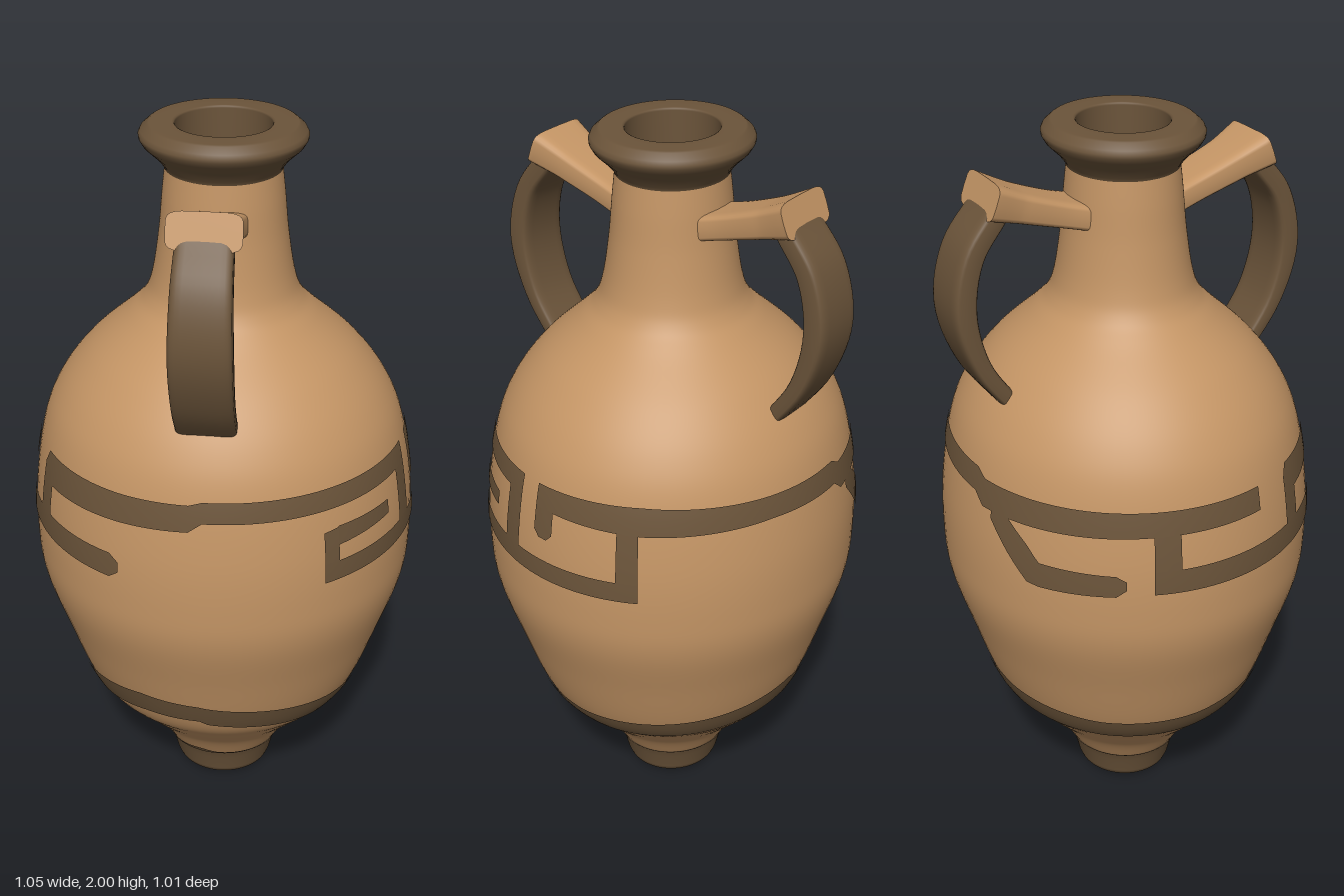
import * as THREE from 'three';

const clay = new THREE.MeshStandardMaterial({ color: 0xc49565 });
clay.name = 'clay';
const glaze = new THREE.MeshStandardMaterial({ color: 0x6b543a });
glaze.name = 'darkGlaze';

const rad = THREE.MathUtils.degToRad;

// Outer wall of the vessel as [radius, height], from foot band to collar
const wall = [
  [0.17, 0.115], [0.225, 0.2], [0.315, 0.3], [0.395, 0.4], [0.465, 0.6], [0.51, 0.75],
  [0.52, 0.87], [0.513, 1.02], [0.483, 1.19], [0.437, 1.3], [0.36, 1.4], [0.25, 1.5],
  [0.205, 1.55], [0.183, 1.61], [0.165, 1.72], [0.155, 1.82], [0.147, 1.89],
];
const outline = new THREE.SplineCurve(wall.map(([r, y]) => new THREE.Vector2(r, y))).getPoints(140);

// Radius of the outer wall at a height
function radiusAt(y) {
  let i = 1;
  while (i < outline.length - 1 && outline[i].y < y) i++;
  const a = outline[i - 1], b = outline[i];
  return a.x + ((b.x - a.x) * (y - a.y)) / (b.y - a.y);
}

function addMesh(parent, name, geometry, material) {
  const mesh = new THREE.Mesh(geometry, material);
  mesh.name = name;
  parent.add(mesh);
  return mesh;
}

function lathe(points) {
  return new THREE.LatheGeometry(points.map((p) => (p.isVector2 ? p : new THREE.Vector2(p[0], p[1]))), 96);
}

function geometryFrom(positions, indices) {
  const g = new THREE.BufferGeometry();
  g.setAttribute('position', new THREE.Float32BufferAttribute(positions, 3));
  g.setIndex(indices);
  g.computeVertexNormals();
  return g;
}

// Painted strip hugging the wall; stops are [degrees from front, lower y, upper y]
function paintedStrip(stops) {
  const rows = 6, columns = [];
  for (let k = 0; k < stops.length - 1; k++) {
    const [a0, l0, u0] = stops[k], [a1, l1, u1] = stops[k + 1];
    const n = Math.max(1, Math.ceil((a1 - a0) / 2.5));
    for (let i = k ? 1 : 0; i <= n; i++) {
      const t = i / n;
      columns.push([a0 + (a1 - a0) * t, l0 + (l1 - l0) * t, u0 + (u1 - u0) * t]);
    }
  }
  const pos = [], idx = [];
  columns.forEach(([a, low, high], i) => {
    for (let j = 0; j <= rows; j++) {
      const y = low + ((high - low) * j) / rows, r = radiusAt(y) + 0.004;
      pos.push(r * Math.sin(rad(a)), y, r * Math.cos(rad(a)));
      if (i && j) {
        const d = i * (rows + 1) + j, c = d - 1, b = d - rows - 1, e = b - 1;
        idx.push(e, c, b, c, d, b);
      }
    }
  });
  return geometryFrom(pos, idx);
}

// Rounded bar swept in the yz plane; stations are [z, y, half width, half thickness]
function sweptBar(stations, steps = 24, sides = 24) {
  const path = new THREE.CatmullRomCurve3(stations.map(([z, y]) => new THREE.Vector3(0, y, z)));
  const sizes = new THREE.CatmullRomCurve3(stations.map(([, , w, h]) => new THREE.Vector3(w, h, 0)));
  const round = (v) => Math.sign(v) * Math.pow(Math.abs(v), 0.4);
  const xAxis = new THREE.Vector3(1, 0, 0);
  const pos = [], idx = [];
  for (let i = 0; i <= steps; i++) {
    const t = i / steps, c = path.getPoint(t), s = sizes.getPoint(t);
    const n = path.getTangent(t).cross(xAxis);
    for (let j = 0; j < sides; j++) {
      const q = (j / sides) * Math.PI * 2;
      const h = s.y * round(Math.sin(q));
      pos.push(s.x * round(Math.cos(q)), c.y + n.y * h, c.z + n.z * h);
      if (i) {
        const a = (i - 1) * sides + j, b = (i - 1) * sides + ((j + 1) % sides);
        idx.push(a, b, a + sides, b, b + sides, a + sides);
      }
    }
  }
  // End caps with their own vertices, for crisp rims
  for (const ring of [0, steps]) {
    const base = pos.length / 3;
    pos.push(...pos.slice(ring * sides * 3, (ring + 1) * sides * 3));
    for (let j = 1; j < sides - 1; j++) {
      if (ring) idx.push(base, base + j, base + j + 1);
      else idx.push(base, base + j + 1, base + j);
    }
  }
  return geometryFrom(pos, idx);
}

export function createModel() {
  const model = new THREE.Group();
  model.name = 'amphora';

  // Turned vessel, slightly oval
  const vessel = new THREE.Group();
  vessel.name = 'vessel';
  vessel.scale.z = 0.962;
  model.add(vessel);

  addMesh(vessel, 'bodyAndNeck', lathe(outline), clay);
  addMesh(vessel, 'foot', lathe([
    [0, 0], [0.118, 0.004], [0.122, 0.005], [0.137, 0.015], [0.143, 0.03], [0.155, 0.08], [0.17, 0.115],
  ]), glaze);
  addMesh(vessel, 'lip', lathe([
    [0.147, 1.885], [0.15, 1.895], [0.17, 1.92], [0.2, 1.948], [0.209, 1.963], [0.21, 1.972], [0.205, 1.982],
    [0.188, 1.997], [0.183, 2], [0.126, 2], [0.122, 1.998], [0.12, 1.994], [0.12, 1.8],
  ]), glaze);
  addMesh(vessel, 'interior', lathe([
    [0.12, 1.8], [0.13, 1.6], [0.2, 1.49], [0.37, 1.33], [0.47, 1.02], [0.475, 0.8], [0.36, 0.42],
    [0.19, 0.2], [0.12, 0.13], [0, 0.13],
  ]), clay);

  // Painted bands and key pattern
  const strips = {
    lowerBand: [[0, 0.42, 0.5], [20, 0.4, 0.48], [50, 0.365, 0.445], [90, 0.35, 0.42], [140, 0.37, 0.45],
      [180, 0.4, 0.48], [190, 0.38, 0.46], [230, 0.36, 0.44], [270, 0.36, 0.44], [300, 0.385, 0.46],
      [335, 0.43, 0.51], [357, 0.435, 0.505], [360, 0.42, 0.5]],
    footEdge: [[0, 0.116, 0.125], [60, 0.116, 0.12], [180, 0.116, 0.122], [300, 0.116, 0.12],
      [345, 0.116, 0.138], [360, 0.116, 0.125]],
    frontBand: [[-61, 1.09, 1.175], [-25, 1.105, 1.18], [-4, 1.115, 1.185], [0, 1.14, 1.195],
      [40, 1.14, 1.195], [77, 1.14, 1.195]],
    backBand: [[84, 1.135, 1.195], [120, 1.125, 1.2], [160, 1.13, 1.19], [188, 1.12, 1.185],
      [192, 1.09, 1.165], [250, 1.1, 1.165], [284, 1.1, 1.165]],
    rightKeyBase: [[36, 0.935, 0.99], [119, 0.935, 0.99]],
    rightKeyEnd: [[36, 0.99, 1.08], [41, 0.99, 1.085]],
    rightKeyHook: [[41, 1.035, 1.088], [63, 1.045, 1.085]],
    rightKeyRiser: [[70, 0.99, 1.14], [77, 0.99, 1.14]],
    rightKeyDrop: [[84, 1.07, 1.135], [86, 1.052, 1.135], [89, 1.052, 1.135], [91, 1.07, 1.135]],
    rightKeyBackRiser: [[112.5, 0.99, 1.128], [119, 0.99, 1.126]],
    backKeyHook: [[196, 1.07, 1.092], [203, 1.0, 1.092], [210, 0.935, 1.04], [214, 0.93, 1],
      [237, 0.935, 0.995], [240, 0.955, 0.98]],
    leftKeyBase: [[248, 0.94, 1.005], [332, 0.94, 1.01], [335, 0.96, 0.99]],
    leftKeyBackRiser: [[248, 1.005, 1.1], [256, 1.005, 1.1]],
    leftKeyFrontRiser: [[297, 1.005, 1.14], [299, 1.005, 1.175], [304, 1.005, 1.092]],
  };
  for (const [name, stops] of Object.entries(strips)) addMesh(vessel, name, paintedStrip(stops), glaze);

  // Front and back handles: clay arm on the neck, glazed strap down to the shoulder
  const arm = sweptBar([
    [0.1, 1.775, 0.078, 0.034], [0.2, 1.803, 0.07, 0.034], [0.31, 1.84, 0.075, 0.038], [0.392, 1.872, 0.09, 0.046],
  ]);
  const strap = sweptBar([
    [0.345, 1.315, 0.076, 0.022], [0.435, 1.45, 0.077, 0.026], [0.473, 1.6, 0.077, 0.032],
    [0.445, 1.74, 0.073, 0.031], [0.375, 1.835, 0.069, 0.03],
  ]);
  ['frontHandle', 'backHandle'].forEach((name, i) => {
    const handle = new THREE.Group();
    handle.name = name;
    handle.rotation.y = i * Math.PI;
    addMesh(handle, 'handleArm', arm, clay);
    addMesh(handle, 'handleStrap', strap, glaze);
    model.add(handle);
  });

  return model;
}
